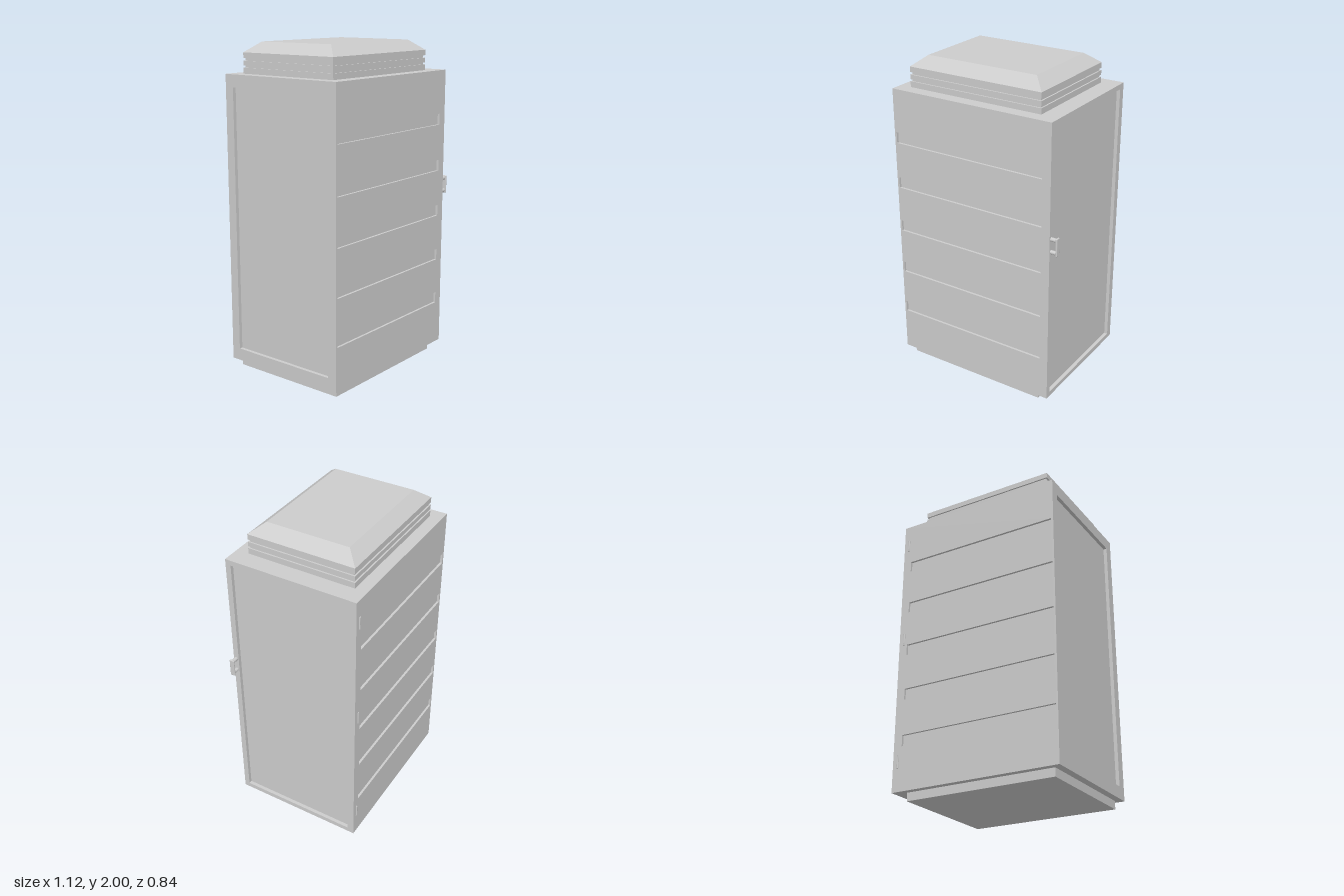
import * as THREE from 'three';
import { RoundedBoxGeometry } from 'three/addons/geometries/RoundedBoxGeometry.js';

const mat = new THREE.MeshStandardMaterial({ color: 0xcccccc });

export function createModel() {
  const model = new THREE.Group();

  const add = (name, geometry) => {
    const mesh = new THREE.Mesh(geometry, mat);
    mesh.name = name;
    model.add(mesh);
    return mesh;
  };
  // Box given by its min and max on each axis
  const boxGeo = (x0, x1, y0, y1, z0, z1) =>
    new THREE.BoxGeometry(x1 - x0, y1 - y0, z1 - z0)
      .translate((x0 + x1) / 2, (y0 + y1) / 2, (z0 + z1) / 2);
  const trace = (path, [u0, u1, v0, v1]) =>
    path.moveTo(u0, v0).lineTo(u1, v0).lineTo(u1, v1).lineTo(u0, v1).closePath();
  // Flat sheet with rectangular openings
  const sheet = (outer, openings, depth) => {
    const shape = trace(new THREE.Shape(), outer);
    openings.forEach(o => shape.holes.push(trace(new THREE.Path(), o)));
    return new THREE.ExtrudeGeometry(shape, { depth, bevelEnabled: false });
  };

  // Cabinet limits, slot depth and side panel depth
  const X0 = -0.56, X1 = 0.512, Y0 = 0.05, Y1 = 1.815, Z0 = -0.413, Z1 = 0.416;
  const slotDepth = 0.014, panelDepth = 0.022;
  const zBack = Z0 + slotDepth, zFront = Z1 - slotDepth;

  // Plinth and inner core, whose faces are the floors of the recesses
  add('plinth', boxGeo(-0.515, 0.43, 0, Y0, -0.375, 0.38));
  add('cabinetCore', boxGeo(X0 + panelDepth, X1 - panelDepth, Y0, Y1, zBack, zFront));

  // Front and back sheets with five long slots
  const slots = [];
  for (let i = 0; i < 5; i++) {
    const y = 0.354 + i * 0.29;
    slots.push([-0.547, 0.457, y - 0.034, y + 0.034]);
  }
  add('frontSheet', sheet([X0, X1, Y0, Y1], slots, slotDepth)).position.z = zFront;
  add('backSheet', sheet([X0, X1, Y0, Y1], slots, slotDepth)).position.z = Z0;

  // Side frames around the recessed door and the opposite panel
  const sideFrame = (name, opening, x) => {
    const geo = sheet([-zFront, -zBack, Y0, Y1], [opening], panelDepth).rotateY(Math.PI / 2);
    add(name, geo).position.x = x;
  };
  sideFrame('doorFrame', [-0.382, 0.372, 0.08, 1.784], X1 - panelDepth);
  sideFrame('sidePanelFrame', [-0.355, 0.355, 0.125, 1.74], X0);

  // Roof cap: three bands around a slightly narrower neck
  const rx0 = -0.486, rx1 = 0.4, rz = 0.338, inset = 0.009;
  add('roofNeck', boxGeo(rx0 + inset, rx1 - inset, Y1, 1.92, -rz + inset, rz - inset));
  [[1.815, 1.85], [1.862, 1.89], [1.905, 1.938]].forEach(([a, b], i) =>
    add('roofBand' + (i + 1), boxGeo(rx0, rx1, a, b, -rz, rz)));

  // Sloped lid: a box with its top corners drawn in
  const lid = boxGeo(rx0, rx1, 1.938, 2, -rz, rz);
  const p = lid.attributes.position;
  for (let i = 0; i < p.count; i++) {
    if (p.getY(i) < 1.97) continue;
    p.setX(i, p.getX(i) > 0 ? rx1 - 0.078 : rx0 + 0.078);
    p.setZ(i, Math.sign(p.getZ(i)) * (rz - 0.078));
  }
  lid.computeVertexNormals();
  add('roofLid', lid);

  // Door handle: two round posts and a grip
  for (const y of [1.047, 1.127]) {
    add('handlePost', new THREE.CylinderGeometry(0.012, 0.012, 0.042, 20)
      .rotateZ(Math.PI / 2).translate(X1 + 0.018, y, 0.4));
  }
  add('handleGrip', new RoundedBoxGeometry(0.012, 0.112, 0.031, 3, 0.005)
    .translate(0.553, 1.087, 0.4));

  // Hinge barrels on the back edge
  for (const y of [0.23, 1.005, 1.67]) {
    add('hinge', new THREE.CylinderGeometry(0.006, 0.006, 0.078, 16)
      .translate(0.478, y, Z0));
  }
  return model;
}
